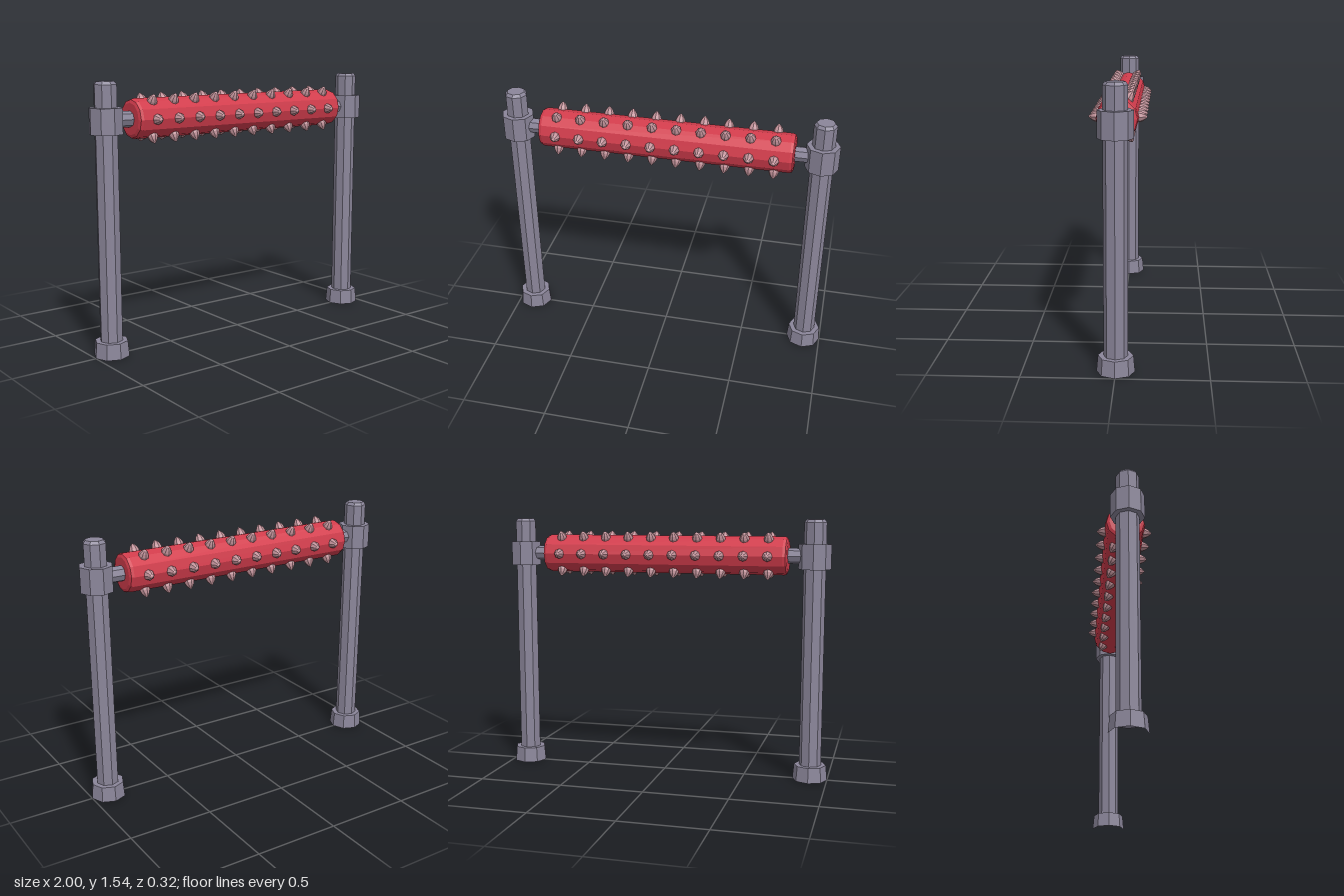
import * as THREE from 'three';

const steel = new THREE.MeshStandardMaterial({ color: 0x8b869a });
steel.name = 'steel grey';
const red = new THREE.MeshStandardMaterial({ color: 0xd23c4c });
red.name = 'roller red';
const pink = new THREE.MeshStandardMaterial({ color: 0xc2929a });
pink.name = 'spike pink';

const ROLLER_Y = 1.33;

// Faceted solid of revolution; profile runs bottom to top as [radius, y]
function turned(profile, sides) {
  const points = profile.map(([r, y]) => new THREE.Vector2(r, y));
  const geometry = new THREE.LatheGeometry(points, sides).toNonIndexed();
  geometry.computeVertexNormals();
  return geometry;
}

function part(name, geometry, material, parent) {
  const mesh = new THREE.Mesh(geometry, material);
  mesh.name = name;
  parent.add(mesh);
  return mesh;
}

export function createModel() {
  const model = new THREE.Group();
  model.name = 'spikedRollerBarrier';

  // Octagonal posts with hollow feet and clamping collars
  const postGeo = turned([[0, 0.05], [0.065, 0.05], [0.065, 1.525], [0.052, 1.542], [0, 1.542]], 8);
  const footGeo = turned([[0.103, 0], [0.095, 0.09], [0, 0.09]], 8);
  const collarGeo = turned([[0, 1.255], [0.095, 1.255], [0.095, 1.4], [0, 1.4]], 8);
  for (const [side, sign] of [['left', 1], ['right', -1]]) {
    const support = new THREE.Group();
    support.name = side + 'Support';
    support.position.x = sign * 0.897;
    part('post', postGeo, steel, support);
    part('foot', footGeo, steel, support);
    part('collar', collarGeo, steel, support);
    model.add(support);
  }

  // Horizontal assembly, with its length along x
  const roller = new THREE.Group();
  roller.name = 'roller';
  roller.position.y = ROLLER_Y;
  model.add(roller);

  const axleGeo = turned([[0, -0.86], [0.045, -0.86], [0.045, 0.86], [0, 0.86]], 8);
  part('axle', axleGeo, steel, roller).rotation.z = -Math.PI / 2;

  const drumGeo = turned([
    [0, -0.745], [0.09, -0.745], [0.107, -0.738], [0.113, -0.722],
    [0.113, 0.722], [0.107, 0.738], [0.09, 0.745], [0, 0.745],
  ], 12);
  part('drum', drumGeo, red, roller).rotation.z = -Math.PI / 2;

  // Ten rings of six bulging spikes
  const spikeGeo = turned([[0.03, 0.1], [0.029, 0.119], [0.022, 0.135], [0.011, 0.149], [0, 0.158]], 8);
  for (let i = 0; i < 10; i++) {
    const ring = new THREE.Group();
    ring.name = 'spikeRing';
    ring.position.x = (i - 4.5) * 0.1413;
    for (let k = 0; k < 6; k++) {
      part('spike', spikeGeo, pink, ring).rotation.x = Math.PI / 2 + (k * Math.PI) / 3;
    }
    roller.add(ring);
  }

  return model;
}
